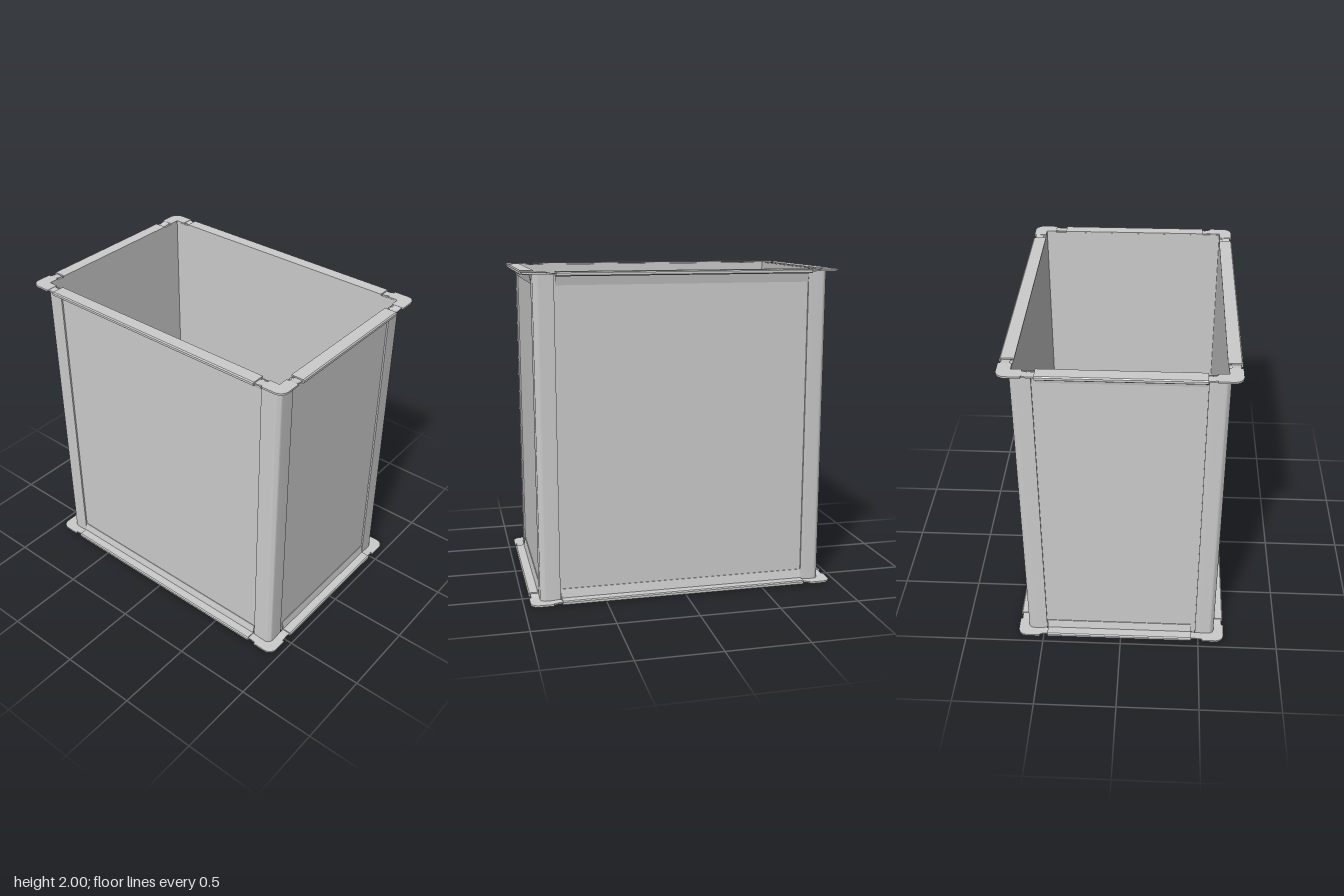
import * as THREE from 'three';
import { toCreasedNormals } from 'three/addons/utils/BufferGeometryUtils.js';

const HX = 0.59, HZ = 0.885; // wall faces
const material = new THREE.MeshStandardMaterial({ color: 0xcccccc, side: THREE.DoubleSide });

function part(name, geometry) {
  const mesh = new THREE.Mesh(toCreasedNormals(geometry, 0.6), material);
  mesh.name = name;
  return mesh;
}

// Extrude a closed [x, y] outline along z, centred on z = 0
function profileBar(points, length) {
  const shape = new THREE.Shape(points.map(p => new THREE.Vector2(...p)));
  return new THREE.ExtrudeGeometry(shape, { depth: length, bevelEnabled: false }).translate(0, 0, -length / 2);
}

// L-shaped outline with a rounded outer corner, lying in x/z, hanging down from y = top
function angleSection(outer, inner, leg, radius, top, depth) {
  const s = new THREE.Shape();
  s.moveTo(-leg, outer);
  s.lineTo(outer - radius, outer);
  s.absarc(outer - radius, outer - radius, radius, Math.PI / 2, 0, true);
  s.lineTo(outer, -leg);
  s.lineTo(inner, -leg);
  s.lineTo(inner, inner);
  s.lineTo(-leg, inner);
  s.closePath();
  return new THREE.ExtrudeGeometry(s, { depth, bevelEnabled: false, curveSegments: 10 })
    .rotateX(Math.PI / 2).translate(0, top, 0);
}

// Folded rail: sloping leg on the wall, hem underneath, flat top flange
const RAIL = [
  [0, 0.92], [0.006, 0.92], [0.016, 0.974], [0.068, 0.974], [0.075, 0.98], [0.075, 0.994],
  [0.068, 1], [-0.008, 1], [-0.008, 0.992], [0.066, 0.992], [0.066, 0.981], [0.01, 0.981],
];

// Tongue stepping down from the corner plate into the rail pocket
const TONGUE = [
  [-0.06, 0.998], [-0.06, 0.988], [-0.095, 0.983], [-0.15, 0.983],
  [-0.15, 0.991], [-0.095, 0.991],
];

function cornerFlange() {
  const g = new THREE.Group();
  g.name = 'cornerFlange';
  g.add(part('cornerPlate', angleSection(0.075, -0.003, 0.065, 0.055, 0.998, 0.011)));
  const tongue = part('cornerTongue', profileBar(TONGUE, 0.051));
  tongue.position.z = 0.0375;
  const tongue2 = tongue.clone();
  tongue2.rotation.y = -Math.PI / 2;
  tongue2.position.set(0.0375, 0, 0);
  g.add(tongue, tongue2);
  return g;
}

// One rim: four rails and four corner pieces, drawn for the top end
function rim(name) {
  const g = new THREE.Group();
  g.name = name;
  for (let k = 0; k < 4; k++) {
    const onX = k % 2 === 0;
    const dir = k < 2 ? 1 : -1; // +x, -z, -x, +z
    const rail = part('flangeRail', profileBar(RAIL, onX ? 1.545 : 0.93));
    rail.rotation.y = k * Math.PI / 2;
    if (onX) rail.position.set(dir * HX, 0, -0.004);
    else rail.position.set(-0.01, 0, -dir * HZ);
    g.add(rail);
  }
  eachCorner(cornerFlange, g);
  return g;
}

// Place a piece at all four corners, turning it a quarter each time
function eachCorner(make, parent) {
  [[1, 1], [1, -1], [-1, -1], [-1, 1]].forEach(([sx, sz], k) => {
    const piece = make();
    piece.rotation.y = k * Math.PI / 2;
    piece.position.x = sx * HX;
    piece.position.z = sz * HZ;
    parent.add(piece);
  });
}

export function createModel() {
  const model = new THREE.Group();
  model.name = 'rectangularDuct';

  // Thin walls, open at both ends
  for (const s of [1, -1]) {
    const side = part('sideWall', new THREE.BoxGeometry(0.006, 1.98, HZ * 2));
    side.position.set(s * (HX - 0.001), 1, 0);
    const end = part('endWall', new THREE.BoxGeometry(HX * 2, 1.98, 0.006));
    end.position.set(0, 1, s * (HZ - 0.001));
    model.add(side, end);
  }

  // Rounded corner posts lapped over the walls
  eachCorner(() => part('cornerPost', angleSection(0.012, 0.001, 0.11, 0.035, 1.988, 1.976)), model);

  // Matching rims, the lower one turned over
  const top = rim('topRim');
  top.position.y = 1;
  const bottom = rim('bottomRim');
  bottom.position.y = 1;
  bottom.rotation.z = Math.PI;
  model.add(top, bottom);
  return model;
}
